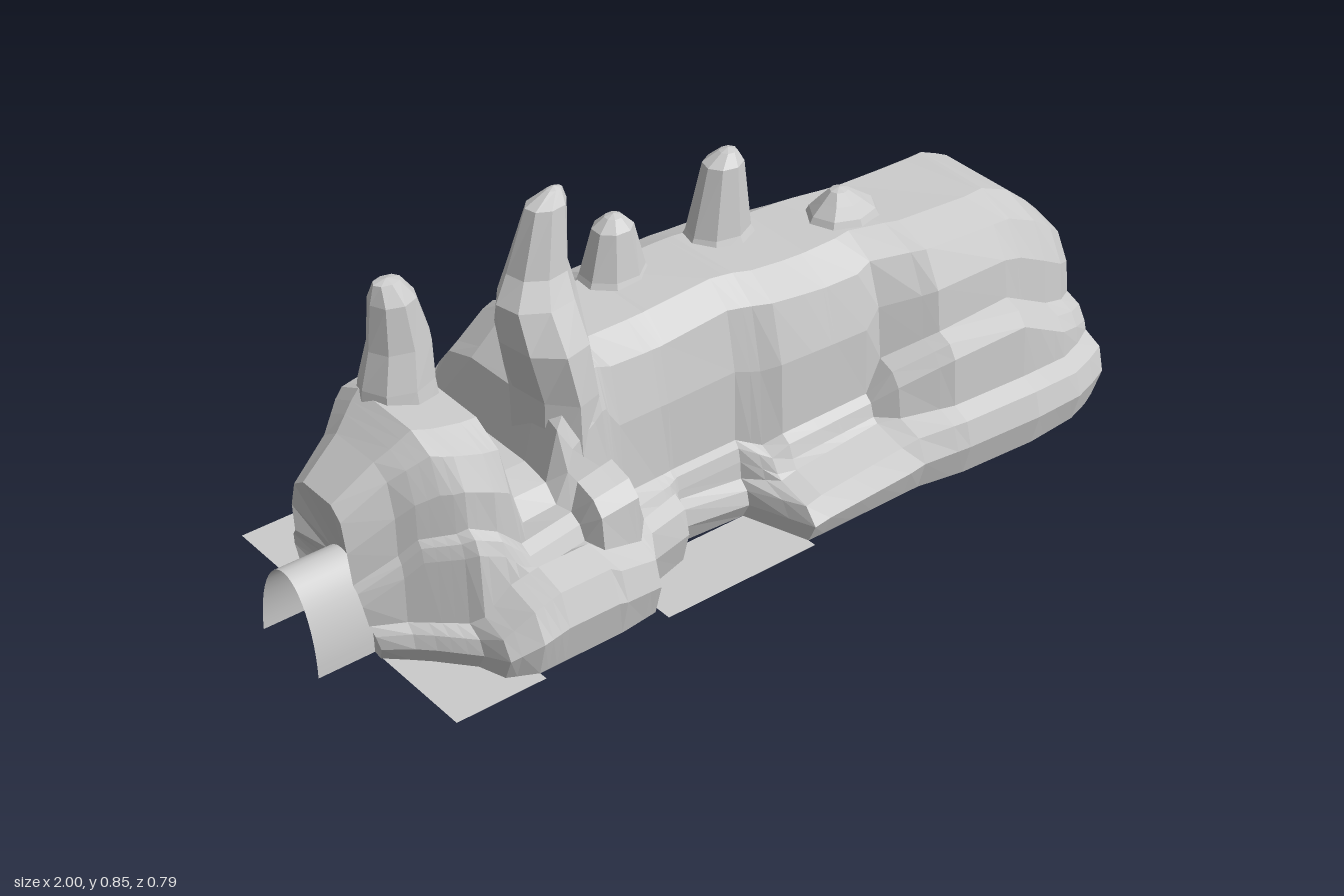
import * as THREE from 'three';

const material = new THREE.MeshStandardMaterial({ color: 0xcccccc, flatShading: true, side: THREE.DoubleSide });
const smooth = new THREE.MeshStandardMaterial({ color: 0xcccccc, side: THREE.DoubleSide });

// Skin a list of equal-length rings of [x, y, z] points.
function loft(rings, closed) {
  const n = rings[0].length, index = [];
  for (let i = 0; i < rings.length - 1; i++) {
    for (let j = 0; j < (closed ? n : n - 1); j++) {
      const a = i * n + j, b = a + n, c = i * n + (j + 1) % n, d = c + n;
      index.push(a, b, c, c, b, d);
    }
  }
  const g = new THREE.BufferGeometry();
  g.setAttribute('position', new THREE.Float32BufferAttribute(rings.flat(2), 3));
  g.setIndex(index);
  g.computeVertexNormals();
  return g;
}

// Arch outline of the tunnel at position x, front to back.
function arch(x, n) {
  return Array.from({ length: n }, (_, k) => {
    const a = Math.PI * k / (n - 1);
    return [x, 0.01 + 0.195 * Math.sin(a), -0.012 + 0.098 * Math.cos(a)];
  });
}

// Crest line: x, height
const crest = [
  [-0.87, 0.36], [-0.83, 0.43], [-0.76, 0.49], [-0.62, 0.46], [-0.59, 0.31], [-0.51, 0.31], [-0.48, 0.43],
  [-0.38, 0.53], [-0.2, 0.52], [0.02, 0.53], [0.2, 0.52], [0.67, 0.51], [0.75, 0.47], [0.81, 0.42], [0.85, 0.37],
];

// Slopes: x, foot z, foot ledge y, middle z, middle ledge y, wall z
const front = [
  [-0.87, 0.13, 0.08, 0.11, 0.18, 0.09], [-0.80, 0.20, 0.08, 0.17, 0.27, 0.15], [-0.74, 0.27, 0.08, 0.22, 0.28, 0.19],
  [-0.72, 0.33, 0.10, 0.24, 0.29, 0.20], [-0.66, 0.36, 0.15, 0.24, 0.26, 0.21], [-0.60, 0.36, 0.17, 0.25, 0.20, 0.20],
  [-0.48, 0.36, 0.17, 0.25, 0.22, 0.20], [-0.46, 0.36, 0.16, 0.28, 0.28, 0.19], [-0.37, 0.35, 0.14, 0.28, 0.29, 0.18],
  [-0.33, 0.28, 0.15, 0.24, 0.18, 0.17], [-0.22, 0.25, 0.14, 0.20, 0.17, 0.16], [-0.19, 0.20, 0.10, 0.18, 0.17, 0.16],
  [-0.03, 0.21, 0.08, 0.18, 0.17, 0.16], [0.02, 0.36, 0.09, 0.24, 0.15, 0.18], [0.06, 0.36, 0.10, 0.24, 0.17, 0.20],
  [0.28, 0.36, 0.12, 0.24, 0.18, 0.21], [0.32, 0.36, 0.13, 0.27, 0.25, 0.20], [0.43, 0.38, 0.14, 0.32, 0.30, 0.26],
  [0.62, 0.39, 0.14, 0.33, 0.31, 0.26], [0.75, 0.38, 0.13, 0.32, 0.24, 0.25], [0.81, 0.36, 0.13, 0.30, 0.22, 0.24],
  [0.85, 0.34, 0.13, 0.27, 0.20, 0.20],
];
const back = [
  [-0.87, -0.13, 0.08, -0.12, 0.20, -0.10], [-0.78, -0.22, 0.08, -0.20, 0.25, -0.17], [-0.70, -0.28, 0.10, -0.26, 0.28, -0.20],
  [-0.64, -0.30, 0.12, -0.27, 0.29, -0.21], [-0.60, -0.39, 0.15, -0.31, 0.29, -0.24], [-0.40, -0.39, 0.14, -0.31, 0.30, -0.22],
  [-0.36, -0.38, 0.13, -0.29, 0.28, -0.20], [-0.33, -0.24, 0.10, -0.21, 0.20, -0.17], [-0.24, -0.24, 0.10, -0.21, 0.20, -0.18],
  [-0.20, -0.38, 0.13, -0.27, 0.28, -0.21], [0.00, -0.39, 0.16, -0.28, 0.32, -0.21], [0.14, -0.39, 0.14, -0.26, 0.30, -0.20],
  [0.19, -0.23, 0.10, -0.20, 0.28, -0.17], [0.40, -0.22, 0.10, -0.19, 0.28, -0.13], [0.44, -0.38, 0.14, -0.28, 0.28, -0.13],
  [0.66, -0.39, 0.14, -0.28, 0.26, -0.12], [0.72, -0.39, 0.14, -0.22, 0.17, -0.13], [0.81, -0.39, 0.14, -0.20, 0.16, -0.13],
  [0.85, -0.34, 0.13, -0.17, 0.15, -0.12],
];

// Row of a table at x, blended between its neighbours, without the x.
function sample(table, x) {
  const i = Math.max(1, table.findIndex((row) => row[0] >= x));
  const a = table[i - 1], b = table[i], t = (x - a[0]) / (b[0] - a[0]);
  return a.slice(1).map((v, k) => v + (b[k + 1] - v) * t);
}

// Half of a mountain section as [z, y], from foot to crest T.
function half([F, H, M, K, W], T) {
  return [
    [F - Math.sign(F) * 0.02, 0.01], [F, H * 0.6], [F - 0.25 * (F - M), H], [M + 0.1 * (F - M), H + 0.02],
    [M, K - 0.03], [M - 0.3 * (M - W), K], [W + 0.15 * (M - W), K + 0.015],
    [W, K + (T - K) * 0.5], [W * 0.84, T - (T - K) * 0.14], [W * 0.5, T],
  ];
}

// Rock column: levels are [y, centre x, centre z, half width x, half depth z].
function rock(levels, turn) {
  const sides = 8;
  const rings = levels.map(([y, cx, cz, rx, rz]) => Array.from({ length: sides }, (_, k) => {
    const a = turn + (k / sides) * Math.PI * 2;
    return [cx + rx * Math.cos(a), y, cz + rz * Math.sin(a)];
  }));
  const [y, cx, cz] = levels[levels.length - 1];
  rings.push(Array.from({ length: sides }, () => [cx, y + 0.006, cz]));
  return loft(rings, true);
}

export function createModel() {
  const model = new THREE.Group();
  const add = (name, geometry, mat = material) => {
    const mesh = new THREE.Mesh(geometry, mat);
    mesh.name = name;
    model.add(mesh);
  };

  // Mountain skin, bulging at both ends and closing onto the tunnel mouths
  const stations = [...new Set([...crest, ...front, ...back].map((row) => row[0]))].sort((a, b) => a - b);
  const rings = stations.map((x) => {
    const [T] = sample(crest, x);
    const pts = [...half(sample(front, x), T), ...half(sample(back, x), T).reverse()];
    return pts.map(([z, y], j) => {
      const bulge = Math.sin(Math.min(1, y / 0.3) * Math.PI / 2);
      const end = x === -0.87 ? -0.05 : x === 0.85 ? 0.02 : 0;
      return [x + end * bulge, y + (y > 0.4 ? 0.005 * Math.sin(x * 14 + j) : 0), z];
    });
  });
  add('mountain', loft([arch(-0.87, 20), ...rings, arch(0.84, 20)], false));

  // Tunnel lining running past both ends
  add('tunnel', loft([arch(-1, 25), arch(1, 25)], false), smooth);

  // Two tall spires
  add('leftSpire', rock([
    [0.40, -0.69, -0.06, 0.09, 0.09], [0.50, -0.69, -0.06, 0.08, 0.07], [0.58, -0.68, -0.06, 0.07, 0.055],
    [0.68, -0.69, -0.06, 0.05, 0.045], [0.72, -0.70, -0.06, 0.03, 0.02],
  ], 0));
  add('tallSpire', rock([
    [0.28, -0.42, 0.07, 0.085, 0.13], [0.45, -0.42, 0.07, 0.075, 0.12], [0.56, -0.435, 0.065, 0.085, 0.11],
    [0.64, -0.435, 0.05, 0.085, 0.075], [0.69, -0.42, 0.035, 0.065, 0.06], [0.82, -0.395, 0.035, 0.045, 0.035],
    [0.845, -0.375, 0.035, 0.018, 0.012],
  ], 1));

  // Crest knobs: x, z, top height, base radius, sideways lean
  const knobs = [[-0.16, -0.07, 0.655, 0.09, 0.005], [0.11, -0.065, 0.705, 0.09, 0.025], [0.36, 0.035, 0.58, 0.095, -0.01]];
  knobs.forEach(([x, z, top, r, lean], i) => add(`knob${i + 1}`, rock([
    [0.5, x, z, r, r * 0.85], [0.535, x, z, r * 0.8, r * 0.67],
    [top - 0.022, x + lean / 2, z, r * 0.5, r * 0.45], [top, x + lean, z, r * 0.22, r * 0.2],
  ], i + 2)));

  // Small rock at the back right corner
  add('cornerRock', rock([
    [0, 0.83, -0.3, 0.055, 0.07], [0.08, 0.82, -0.31, 0.055, 0.075], [0.13, 0.81, -0.3, 0.045, 0.06],
  ], Math.PI / 8));

  // Flat ground showing between the foothills: x from, x to, z from, z to
  const ground = [
    [-0.87, -0.66, 0.09, 0.36], [-0.87, -0.6, -0.4, -0.11], [-0.36, 0.02, 0.19, 0.36],
    [-0.36, -0.2, -0.4, -0.21], [0.15, 0.44, -0.4, -0.2],
  ];
  ground.forEach(([x0, x1, z0, z1], i) => {
    const g = new THREE.PlaneGeometry(x1 - x0, z1 - z0).rotateX(-Math.PI / 2);
    add(`ground${i + 1}`, g.translate((x0 + x1) / 2, 0.01, (z0 + z1) / 2));
  });
  return model;
}
